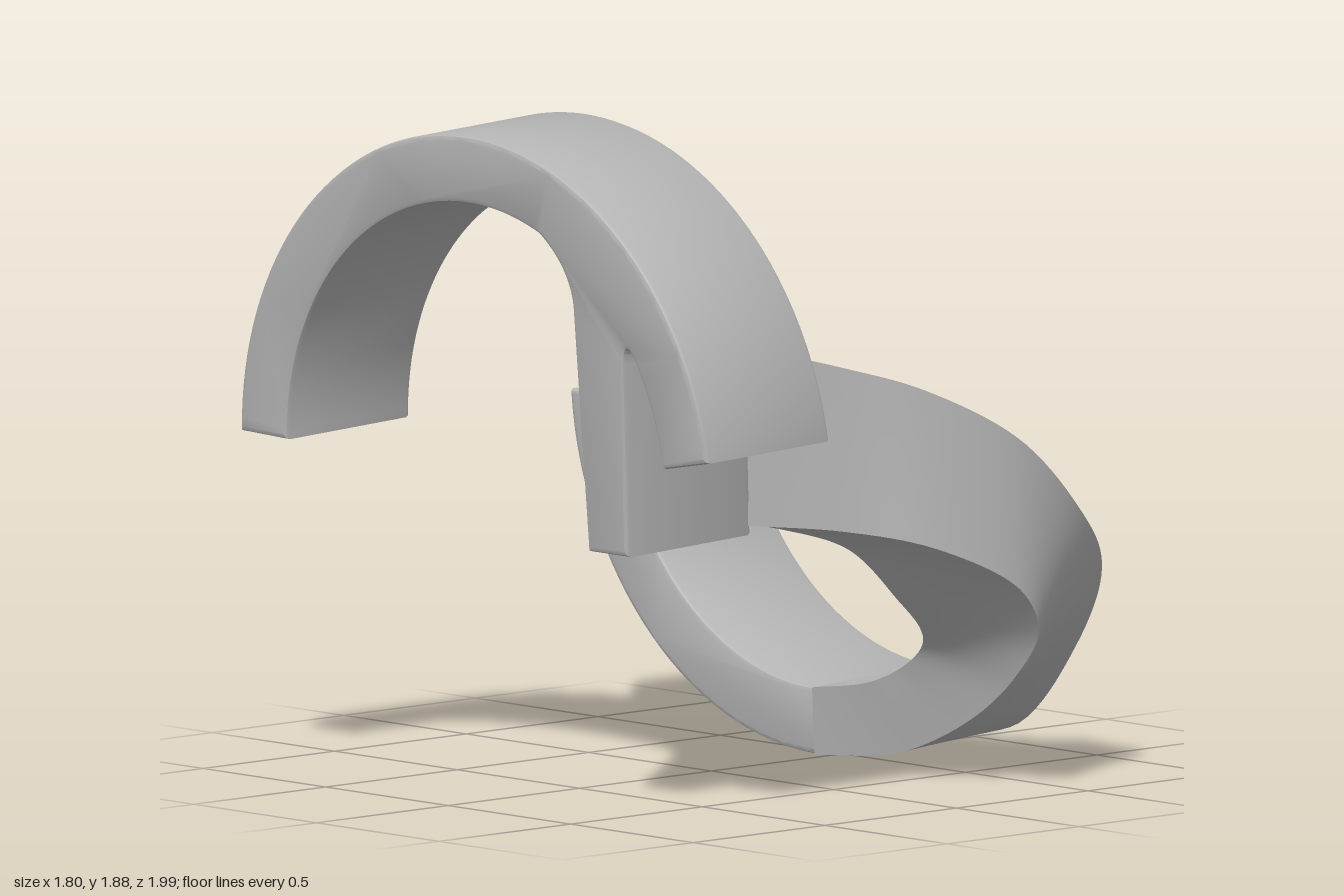
import * as THREE from 'three';
import { toCreasedNormals } from 'three/addons/utils/BufferGeometryUtils.js';

const OUTER = 0.96, INNER = 0.77, CZ = -0.04; // ring radii and ring centre in z
const MID_Y = 0.953, TILT = 0.043;            // both hooks lean slightly sideways

// Extrudes a side profile (z, y) across x, with softened edges
function sideExtrude(name, shape, x, width, material) {
  const b = 0.014;
  const geo = new THREE.ExtrudeGeometry(shape, {
    depth: width - 2 * b, curveSegments: 32,
    bevelThickness: b, bevelSize: b, bevelOffset: -b, bevelSegments: 2,
  });
  geo.translate(0, 0, -(width - 2 * b) / 2);
  geo.rotateY(-Math.PI / 2);
  geo.translate(x, 0, 0);
  const mesh = new THREE.Mesh(toCreasedNormals(geo, 0.45), material);
  mesh.name = name;
  mesh.position.y = MID_Y;
  mesh.rotation.z = TILT;
  return mesh;
}

// Upper arch with its front hook, slot and hanging tab
function archShape() {
  const s = new THREE.Shape();
  s.absarc(CZ, 0, OUTER, Math.PI - 0.03, 0.14, true);
  s.lineTo(0.73, 0.1);
  s.absarc(CZ, 0, INNER, 0.14, 0.5, false);
  s.quadraticCurveTo(0.585, 0.47, 0.58, 0.38);
  s.lineTo(0.575, -0.165);
  s.lineTo(0.41, -0.165);
  s.lineTo(0.378, 0.5);
  s.quadraticCurveTo(0.378, 0.62, 0.25, 0.713);
  s.absarc(CZ, 0, INNER, 1.185, Math.PI - 0.03, false);
  return s;
}

// Lower quarter ring
function lowerShape() {
  const s = new THREE.Shape();
  const a0 = Math.PI + 0.03, a1 = Math.PI * 1.5 + 0.06;
  s.absarc(CZ, 0, OUTER, a0, a1, false);
  s.absarc(CZ, 0, INNER, a1, a0, true);
  return s;
}

// Twisting band: four corner edges, each a smooth curve from ring to tab
const EDGES = [
  // top back
  [[.86, .22, -.04], [.87, .27, .2], [.83, .45, .43], [.7, .68, .59], [.5, .86, .63],
    [.25, 1.06, .61], [0, 1.19, .56], [-.2, 1.25, .5], [-.41, 1.29, .38]],
  // top front
  [[.9, .03, -.04], [.89, .09, .3], [.87, .33, .55], [.74, .6, .8], [.52, .8, .94],
    [.27, 1.02, .96], [0, 1.17, .87], [-.2, 1.24, .75], [-.41, 1.3, .6]],
  // bottom front
  [[.43, .01, -.04], [.43, .05, .3], [.41, .18, .62], [.39, .32, .82], [.35, .47, .96],
    [.25, .6, .99], [0, .73, .91], [-.2, .78, .76], [-.41, .8, .59]],
  // bottom back
  [[.42, .2, -.04], [.41, .24, .2], [.4, .3, .35], [.37, .37, .46], [.29, .44, .54],
    [.18, .53, .57], [0, .69, .56], [-.2, .76, .5], [-.41, .8, .41]],
];

function bandGeometry() {
  const N = 64, M = 6;
  const curves = EDGES.map(e => new THREE.CatmullRomCurve3(e.map(p => new THREE.Vector3(...p))));
  const pos = [], index = [];
  for (let f = 0; f < 4; f++) {
    const a = curves[f], b = curves[(f + 1) % 4], base = pos.length / 3;
    for (let i = 0; i <= N; i++) {
      const p = a.getPoint(i / N), q = b.getPoint(i / N);
      for (let j = 0; j <= M; j++) pos.push(...p.clone().lerp(q, j / M).toArray());
    }
    for (let i = 0; i < N; i++) {
      for (let j = 0; j < M; j++) {
        const k = base + i * (M + 1) + j, n = k + M + 1;
        index.push(k, n, k + 1, k + 1, n, n + 1);
      }
    }
  }
  const geo = new THREE.BufferGeometry();
  geo.setAttribute('position', new THREE.Float32BufferAttribute(pos, 3));
  geo.setIndex(index);
  geo.computeVertexNormals();
  return geo;
}

export function createModel() {
  const grey = new THREE.MeshStandardMaterial({ color: 0xb4b4b4 });
  grey.name = 'plain grey';
  const group = new THREE.Group();
  group.name = 'twistedRing';
  group.add(sideExtrude('upperArch', archShape(), -0.625, 0.47, grey));
  group.add(sideExtrude('lowerRing', lowerShape(), 0.625, 0.47, grey));
  const band = new THREE.Mesh(bandGeometry(), grey);
  band.name = 'twistingBand';
  group.add(band);
  return group;
}
